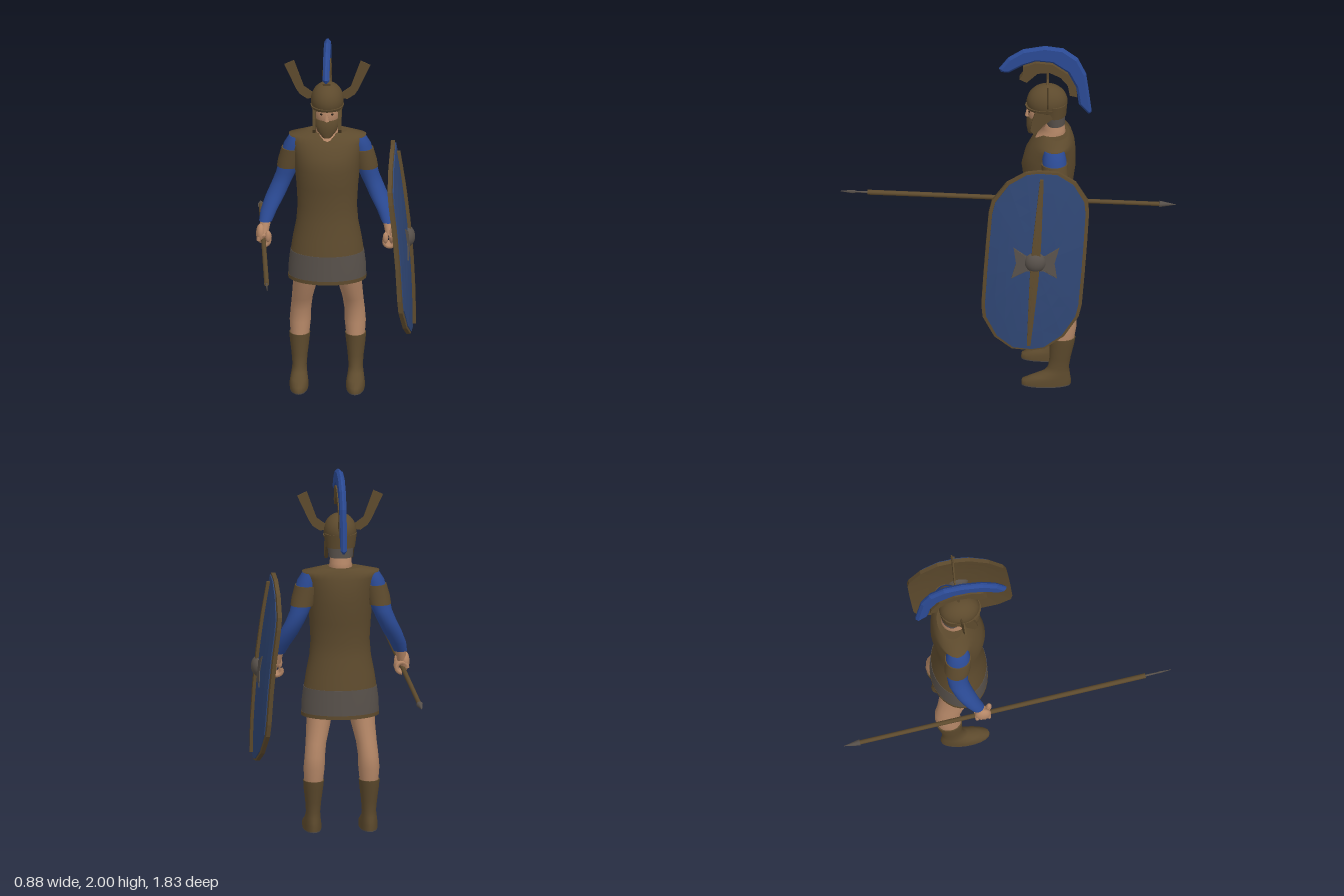
import * as THREE from 'three';

const CX = -0.045; // body centre line
const mat = (name, color, opts = {}) => Object.assign(new THREE.MeshStandardMaterial({ color, ...opts }), { name });

export function createModel() {
  const model = new THREE.Group();
  const bronze = mat('bronze brown', 0x5d4a2d), blue = mat('cloth blue', 0x2b4a94), shieldBlue = mat('shield blue', 0x2f4674);
  const skin = mat('skin', 0xb58767), grey = mat('iron grey', 0x57504a), dark = mat('eye dark', 0x2a2018);

  const add = (name, geo, material, parent = model) => {
    const m = new THREE.Mesh(geo, material);
    m.name = name;
    parent.add(m);
    return m;
  };
  const build = (pos, idx, flat) => {
    let g = new THREE.BufferGeometry();
    g.setAttribute('position', new THREE.Float32BufferAttribute(pos, 3));
    g.setIndex(idx);
    if (flat) g = g.toNonIndexed();
    g.computeVertexNormals();
    return g;
  };

  // Stack of ellipses, bottom to top: [x, y, z, rx, rz], with end caps
  const loft = (rings, n = 20) => {
    const pos = [], idx = [];
    const ring = ([x, y, z, rx, rz]) => {
      for (let j = 0; j < n; j++) {
        const a = (j / n) * Math.PI * 2;
        pos.push(x + rx * Math.cos(a), y, z + rz * Math.sin(a));
      }
    };
    rings.forEach(ring);
    for (let i = 0; i < rings.length - 1; i++) for (let j = 0; j < n; j++) {
      const a = i * n + j, b = i * n + (j + 1) % n;
      idx.push(a, a + n, b, b, a + n, b + n);
    }
    [rings[0], rings[rings.length - 1]].forEach((r, top) => {
      const s = pos.length / 3;
      ring(r);
      pos.push(r[0], r[1], r[2]);
      for (let j = 0; j < n; j++) {
        const a = s + j, b = s + (j + 1) % n;
        top ? idx.push(s + n, b, a) : idx.push(s + n, a, b);
      }
    });
    return build(pos, idx);
  };
  const ball = (x, y, z, rx, ry, rz, ...part) =>
    new THREE.SphereGeometry(1, 20, 14, ...part).scale(rx, ry, rz).translate(x, y, z);
  const shapeOf = pts => new THREE.Shape(pts.map(p => new THREE.Vector2(...p)));
  // Flat part drawn in (z, y), centred on x
  const sidePlate = (pts, x, t, bevel = 0) => new THREE.ExtrudeGeometry(shapeOf(pts), {
    depth: t - 2 * bevel, bevelEnabled: bevel > 0, bevelThickness: bevel, bevelSize: bevel, bevelOffset: -bevel, bevelSegments: 1,
  }).rotateY(-Math.PI / 2).translate(x + t / 2 - bevel, 0, 0);

  // Tunic, skirt band and hem
  const body = rows => loft(rows.map(([y, z, rx, rz]) => [CX, y, z, rx, rz]), 32);
  add('tunic', body([[0.8, -0.215, 0.199, 0.15], [0.88, -0.215, 0.187, 0.14], [0.97, -0.215, 0.169, 0.126], [1.06, -0.215, 0.162, 0.122],
    [1.17, -0.22, 0.168, 0.132], [1.28, -0.22, 0.178, 0.148], [1.36, -0.23, 0.186, 0.138], [1.42, -0.245, 0.2, 0.117],
    [1.455, -0.255, 0.212, 0.095], [1.475, -0.26, 0.11, 0.075]]), bronze);
  add('skirtBand', body([[0.66, -0.215, 0.213, 0.157], [0.73, -0.215, 0.21, 0.155], [0.8, -0.215, 0.201, 0.152]]), grey);
  add('hem', body([[0.64, -0.215, 0.214, 0.158], [0.66, -0.215, 0.214, 0.158]]), bronze);

  // Neck and head
  add('neck', loft([[CX, 1.415, -0.215, 0.06, 0.082], [CX, 1.46, -0.235, 0.068, 0.078], [CX, 1.5, -0.25, 0.06, 0.06], [CX, 1.6, -0.235, 0.055, 0.055]]), skin);
  add('neckGuard', loft([[CX, 1.53, -0.255, 0.066, 0.055], [CX, 1.62, -0.235, 0.075, 0.075]]), grey);
  add('face', ball(CX, 1.605, -0.18, 0.066, 0.1, 0.075), skin);
  add('nose', new THREE.ConeGeometry(0.015, 0.06, 6).translate(CX, 1.605, -0.105), skin);
  add('beard', loft([[CX, 1.475, -0.125, 0.022, 0.018], [CX, 1.51, -0.135, 0.052, 0.035], [CX, 1.55, -0.16, 0.07, 0.062], [CX, 1.575, -0.175, 0.068, 0.067]]), bronze);
  add('helmet', ball(CX, 1.665, -0.212, 0.09, 0.1, 0.112, 0, Math.PI * 2, 0, Math.PI * 0.66), mat('helmet brown', 0x5d4a2d, { side: THREE.DoubleSide }));
  add('helmetBack', loft([[CX, 1.585, -0.25, 0.079, 0.066], [CX, 1.66, -0.25, 0.089, 0.073]]), bronze);
  add('browBand', loft([[CX, 1.628, -0.205, 0.088, 0.108], [CX, 1.642, -0.205, 0.092, 0.114]]), bronze);

  // Crest holder, stem and plume
  add('crest', sidePlate([[0.05, 1.865], [0, 1.93], [-0.08, 1.98], [-0.2, 2], [-0.3, 1.985], [-0.38, 1.925], [-0.425, 1.83], [-0.44, 1.72],
    [-0.455, 1.6], [-0.44, 1.585], [-0.385, 1.645], [-0.37, 1.75], [-0.325, 1.84], [-0.24, 1.9], [-0.15, 1.91], [-0.08, 1.885], [0, 1.84], [0.04, 1.845]],
    CX, 0.036, 0.013), blue);
  add('crestHolder', sidePlate([[-0.06, 1.81], [-0.08, 1.84], [-0.08, 1.885], [-0.15, 1.91], [-0.24, 1.9], [-0.325, 1.84], [-0.37, 1.75], [-0.375, 1.7],
    [-0.335, 1.71], [-0.325, 1.77], [-0.285, 1.82], [-0.225, 1.85], [-0.16, 1.845], [-0.1, 1.79]].map(([z, y]) => [z, y - 0.004]), CX, 0.042), bronze);
  add('crestStem', new THREE.CylinderGeometry(0.006, 0.008, 0.11, 8).translate(CX, 1.8, -0.215), bronze);

  // Closed fist: palm, curled fingers and thumb around an axis along z
  const fist = (s, x, y, z) => {
    const g = new THREE.Group();
    g.name = s > 0 ? 'leftHand' : 'rightHand';
    add('palm', ball(x + s * 0.018, y + 0.03, z, 0.026, 0.055, 0.045), skin, g);
    for (let i = 0; i < 4; i++) {
      const f = add('finger', new THREE.TorusGeometry(0.029, 0.012, 6, 12, Math.PI * 1.5), skin, g);
      f.position.set(x, y, z - 0.034 + i * 0.022);
      f.rotation.z = s > 0 ? -Math.PI : -Math.PI / 2;
    }
    add('thumb', ball(x - s * 0.022, y + 0.025, z + 0.04, 0.015, 0.032, 0.015), skin, g);
    model.add(g);
  };

  for (const s of [1, -1]) {
    const side = s > 0 ? 'left' : 'right', X = d => CX + s * d;
    const limb = rows => loft(rows.map(([d, ...r]) => [X(d), ...r]));
    // Helmet side plume, cheek guard and eye
    const plume = [[0.235, 1.865], [0.182, 1.89], [0.128, 1.74], [0.08, 1.705], [0.075, 1.675], [0.11, 1.668], [0.15, 1.695], [0.17, 1.725]];
    add(side + 'Plume', new THREE.ExtrudeGeometry(shapeOf(plume.map(([d, y]) => [X(d), y])), { depth: 0.008, bevelEnabled: false }).translate(0, 0, -0.219), bronze);
    add(side + 'CheekGuard', sidePlate([[-0.24, 1.64], [-0.24, 1.59], [-0.19, 1.55], [-0.14, 1.495], [-0.12, 1.52], [-0.13, 1.58], [-0.15, 1.64]], X(0.07), 0.018), bronze);
    add(side + 'Eye', ball(X(0.026), 1.612, -0.117, 0.012, 0.006, 0.006), dark);

    // Arm and short sleeve
    add(side + 'Arm', limb([[0.335, 0.975, -0.17, 0.036, 0.038], [0.318, 1.03, -0.2, 0.045, 0.045], [0.285, 1.1, -0.235, 0.052, 0.052], [0.252, 1.17, -0.26, 0.052, 0.055],
      [0.226, 1.23, -0.262, 0.054, 0.058], [0.202, 1.31, -0.255, 0.06, 0.064], [0.182, 1.4, -0.25, 0.056, 0.066], [0.165, 1.445, -0.25, 0.045, 0.055]]), blue);
    add(side + 'Sleeve', limb([[0.212, 1.265, -0.26, 0.064, 0.07], [0.202, 1.31, -0.255, 0.067, 0.071], [0.186, 1.375, -0.251, 0.065, 0.072]]), bronze);
    add(side + 'Wrist', limb([[0.345, 0.915, -0.145, 0.026, 0.034], [0.335, 0.98, -0.17, 0.03, 0.032]]), skin);
    fist(s, X(0.343), 0.88, -0.142);

    // Leg, boot and sole
    add(side + 'Leg', limb([[0.152, 0.27, -0.292, 0.05, 0.064], [0.15, 0.36, -0.302, 0.058, 0.07], [0.146, 0.43, -0.302, 0.056, 0.07], [0.138, 0.5, -0.282, 0.057, 0.075],
      [0.122, 0.6, -0.25, 0.066, 0.092], [0.112, 0.7, -0.23, 0.075, 0.1]]), skin);
    add(side + 'Boot', limb([[0.154, 0.006, -0.205, 0.051, 0.135], [0.154, 0.035, -0.207, 0.051, 0.134], [0.154, 0.055, -0.232, 0.047, 0.105], [0.154, 0.08, -0.262, 0.042, 0.072],
      [0.153, 0.11, -0.273, 0.039, 0.057], [0.153, 0.17, -0.282, 0.044, 0.058], [0.153, 0.25, -0.291, 0.054, 0.068], [0.152, 0.29, -0.294, 0.057, 0.072]]), bronze);
    add(side + 'Sole', limb([[0.154, 0, -0.205, 0.05, 0.134], [0.154, 0.006, -0.205, 0.051, 0.135]]), grey);
  }

  // Spear, modelled along +z
  const spear = new THREE.Group();
  spear.name = 'spear';
  const rod = (name, z0, z1, r0, r1, m, flat = 1) =>
    add(name, new THREE.CylinderGeometry(r1, r0, z1 - z0, 10).rotateX(Math.PI / 2).scale(flat, 1, 1).translate(0, 0, (z0 + z1) / 2), m, spear);
  rod('shaft', -0.84, 0.77, 0.012, 0.014, bronze);
  rod('buttSpike', -0.92, -0.83, 0.001, 0.018, grey);
  rod('neck', 0.77, 0.84, 0.006, 0.004, grey);
  rod('bladeBase', 0.82, 0.85, 0.003, 0.011, grey, 0.4);
  rod('bladeTip', 0.85, 0.92, 0.011, 0.001, grey, 0.4);
  spear.position.set(-0.385, 0.888, 0);
  spear.lookAt(-0.34, 0.956, 0.92);
  model.add(spear);

  // Curved, tilted shield: u runs forward, v runs up
  const place = (u, v, off) => [
    0.373 - 0.09 * v + 0.025 * (1 - (v / 0.52) ** 2) - 0.045 * (u / 0.27) ** 2 + off, 0.895 + v, -0.145 - 0.075 * v + u];
  const curvedPlate = (half, su, sv, front, back, steps = 5) => {
    const line = [...half, ...half.map(([u, v]) => [-u, -v])], n = line.length, pos = [], idx = [];
    for (const off of [front, back]) for (let k = 0; k <= steps; k++)
      for (const [u, v] of line) pos.push(...place(u * su * k / steps, v * sv * k / steps, off));
    const layer = (steps + 1) * n;
    for (let j = 0; j < n; j++) {
      const q = (j + 1) % n;
      for (let k = 0; k < steps; k++) {
        const a = k * n + j, b = k * n + q;
        idx.push(a, a + n, b + n, a, b + n, b);
        idx.push(a + layer, b + n + layer, a + n + layer, a + layer, b + layer, b + n + layer);
      }
      const a = steps * n + j, b = steps * n + q;
      idx.push(a, a + layer, b, b, a + layer, b + layer);
    }
    return build(pos, idx, true);
  };
  const outline = [[0.02, 0.525], [0.09, 0.515], [0.19, 0.45], [0.262, 0.34], [0.274, 0.27], [0.276, 0.09], [0.276, -0.09], [0.274, -0.27], [0.262, -0.34], [0.19, -0.45], [0.09, -0.515]];
  const shield = new THREE.Group();
  shield.name = 'shield';
  add('shieldBody', curvedPlate(outline, 1, 1, 0, -0.022), bronze, shield);
  add('shieldField', curvedPlate(outline, 0.93, 0.98, 0.005, -0.002), shieldBlue, shield);
  add('bossWings', curvedPlate([[0.05, 0.045], [0.125, 0.09], [0.105, 0], [0.125, -0.09], [0.05, -0.045]], 1, 1, 0.01, 0.002), grey, shield);
  add('spine', curvedPlate([[0.01, 0.485], [0.017, 0.3], [0.024, 0.1], [0.024, -0.1], [0.017, -0.3], [0.01, -0.485]], 1, 1, 0.022, 0), bronze, shield);
  add('boss', ball(0.392, 0.9, -0.145, 0.045, 0.06, 0.06), grey, shield);
  model.add(shield);

  return model;
}
